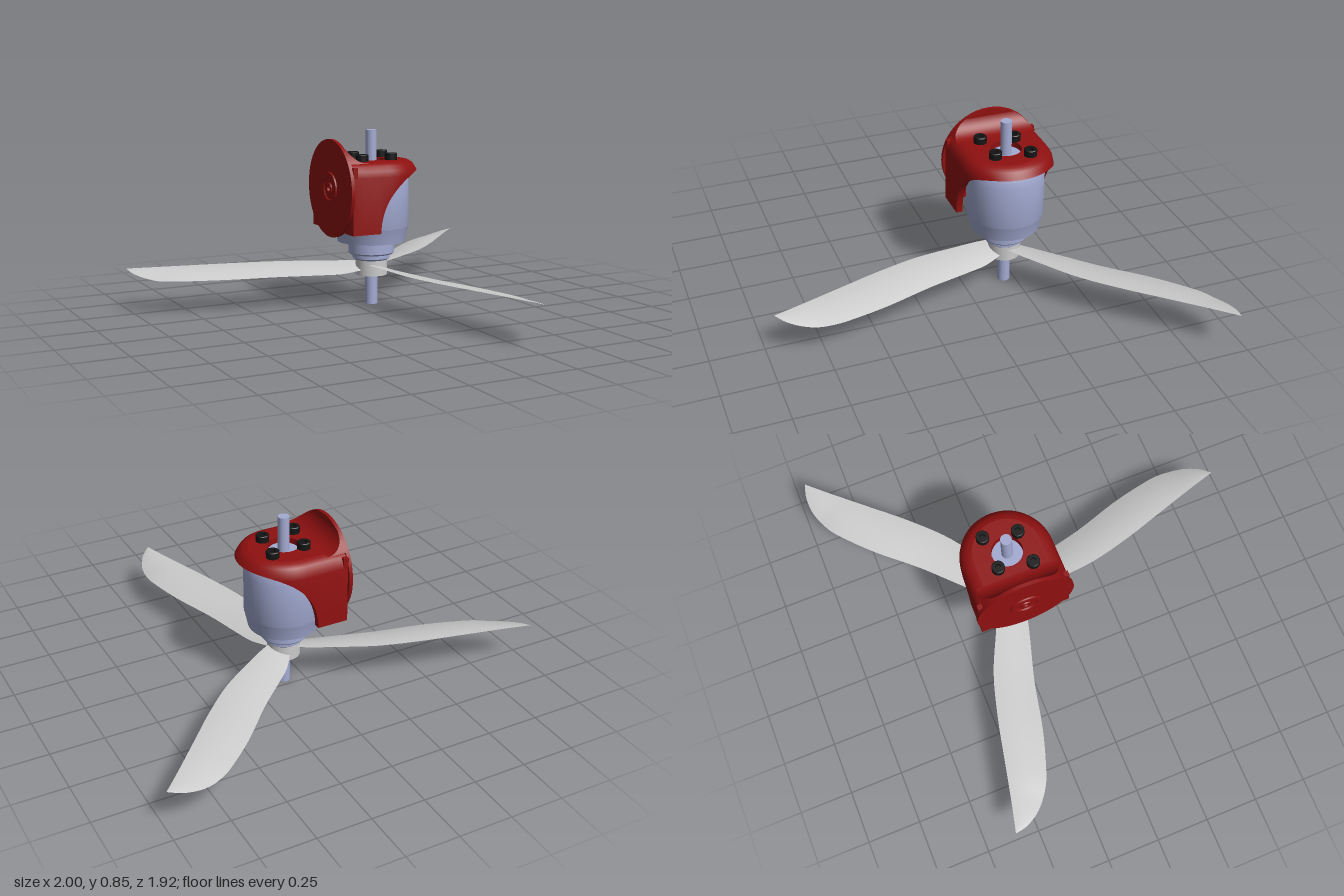
import * as THREE from 'three';
import { toCreasedNormals } from 'three/addons/utils/BufferGeometryUtils.js';

const AX = 0.095, AZ = -0.2; // motor axis
const mat = (color) => new THREE.MeshStandardMaterial({ color, side: THREE.DoubleSide });

function add(parent, name, geometry, material, x = 0, y = 0, z = 0) {
  const m = new THREE.Mesh(geometry, material);
  m.name = name;
  m.position.set(x, y, z);
  parent.add(m);
  return m;
}

// Skin a list of cross-sections (each an array of [x, y, z])
function loft(sections, closed, crease = 0.6) {
  const n = sections[0].length, idx = [];
  for (let i = 0; i < sections.length - 1; i++)
    for (let j = 0; j < (closed ? n : n - 1); j++) {
      const a = i * n + j, b = i * n + (j + 1) % n;
      idx.push(a, b, a + n, b, b + n, a + n);
    }
  const g = new THREE.BufferGeometry();
  g.setAttribute('position', new THREE.Float32BufferAttribute(sections.flat(2), 3));
  g.setIndex(idx);
  return toCreasedNormals(g, crease);
}

function lathe(points, segments = 40) {
  const g = new THREE.LatheGeometry(points.map(([r, y]) => new THREE.Vector2(r, y)), segments);
  return toCreasedNormals(g, 0.5);
}

// Swept blade running along +z: stations of [z, straight edge x, bulged edge x]
function bladeGeometry() {
  const st = [[0.04, -0.045, 0.06], [0.13, -0.045, 0.1], [0.235, -0.037, 0.128], [0.43, -0.018, 0.176],
    [0.65, 0.037, 0.246], [0.81, 0.088, 0.283], [0.91, 0.12, 0.297], [1.03, 0.158, 0.281],
    [1.11, 0.182, 0.24], [1.152, 0.194, 0.197]];
  const left = new THREE.CatmullRomCurve3(st.map(([z, l]) => new THREE.Vector3(l, 0, z)));
  const right = new THREE.CatmullRomCurve3(st.map(([z, , r]) => new THREE.Vector3(r, 0, z)));
  const sections = [], N = 36, C = 8;
  for (let i = 0; i <= N; i++) {
    const a = left.getPoint(i / N), b = right.getPoint(i / N);
    const chord = b.x - a.x;
    const drop = 0.042 * Math.min(1, chord / 0.15);
    const high = 0.202 - 0.004 * (i / N);
    const section = [];
    for (let k = 0; k < 2 * C; k++) {
      const upper = k <= C;
      const s = upper ? k / C : 2 - k / C;
      const bulge = 4 * s * (1 - s) * chord * (upper ? 0.05 : 0.005);
      section.push([a.x + chord * s, high - drop * s + bulge, a.z + (b.z - a.z) * s]);
    }
    sections.push(section);
  }
  return loft(sections, true, 0.8);
}

// Shell around the motor: a D-shaped outline with an arched lower edge
const R = 0.217, BACK = -0.11;
const archY = (x) => {
  const s = Math.min(1, Math.max(0, (0.312 - x) / 0.277));
  return 0.375 + 0.283 * Math.sqrt(1 - s * s);
};
function shellGeometry() {
  const half = [[BACK, 0], [-0.04, 0]]; // [x on the straight side, angle round the nose]
  for (let i = 0; i <= 10; i++) half.push([0.035 + 0.06 * (i / 10) ** 2, 0]);
  for (let i = 1; i <= 16; i++) half.push([AX, i / 16 * Math.PI / 2]);
  const full = [...half.map((h) => [...h, 1]), ...half.slice(0, -1).reverse().map((h) => [...h, -1])];
  const profile = [[0.06, 0.655], [0.03, 0.655], [0.03, 0], [0, 0], [0, 0.64], [0.006, 0.667],
    [0.02, 0.689], [0.04, 0.701], [0.06, 0.705]]; // [inset, height]
  return loft(full.map(([x, a, side]) => {
    const cut = archY(x + R * Math.sin(a));
    return profile.map(([d, y]) =>
      [x + (R - d) * Math.sin(a), Math.max(y, cut), AZ + side * (R - d) * Math.cos(a)]);
  }), false, 0.7);
}

// Flat top of the shell with an opening round the shaft
function topPlateGeometry() {
  const r = R - 0.06, s = new THREE.Shape();
  s.moveTo(BACK - AX, -r);
  s.lineTo(0, -r);
  s.absarc(0, 0, r, -Math.PI / 2, Math.PI / 2, false);
  s.lineTo(BACK - AX, r);
  s.closePath();
  const hole = new THREE.Path();
  hole.absarc(0, 0, 0.072, 0, Math.PI * 2, true);
  s.holes.push(hole);
  const g = new THREE.ExtrudeGeometry(s, { depth: 0.05, bevelEnabled: false, curveSegments: 24 });
  return g.rotateX(-Math.PI / 2);
}

// Concave web blending the shell top into the round mounting plate
function webGeometry() {
  const sections = [];
  for (let i = 0; i <= 12; i++) {
    const t = i / 12 * Math.PI / 2;
    const x = -0.02 - 0.092 * Math.cos(t), y = 0.797 - 0.092 * Math.sin(t);
    const w = Math.sqrt(0.233 ** 2 - (y - 0.575) ** 2);
    sections.push([[-0.115, y, AZ - w], [x, y, AZ - w], [x, y, AZ + w], [-0.115, y, AZ + w]]);
  }
  return loft(sections, true);
}

export function createModel() {
  const root = new THREE.Group();
  root.name = 'propellerMotor';
  const red = mat(0x8f1010), blue = mat(0xa3abd2), grey = mat(0xcccccc), black = mat(0x151515);

  // Motor
  const motor = new THREE.Group();
  motor.name = 'motor';
  motor.position.set(AX, 0, AZ);
  root.add(motor);
  add(motor, 'motorBody', lathe([[0, 0.31], [0.163, 0.31], [0.178, 0.38], [0.18, 0.385], [0.18, 0.59],
    [0.176, 0.62], [0.168, 0.645], [0.158, 0.66], [0.068, 0.66], [0.068, 0.68], [0, 0.68]]), blue);
  add(motor, 'collar', lathe([[0, 0.22], [0.08, 0.22], [0.09, 0.228], [0.09, 0.248], [0.104, 0.248],
    [0.11, 0.255], [0.11, 0.31], [0, 0.31]]), blue);
  add(motor, 'upperShaft', new THREE.CylinderGeometry(0.026, 0.026, 0.2, 24), blue, 0, 0.745, 0);
  add(motor, 'lowerShaft', new THREE.CylinderGeometry(0.03, 0.03, 0.24, 24), blue, 0, 0.12, 0);

  // Propeller
  const propeller = new THREE.Group();
  propeller.name = 'propeller';
  propeller.position.set(AX, 0, AZ);
  root.add(propeller);
  add(propeller, 'hub', new THREE.CylinderGeometry(0.076, 0.076, 0.075, 32), grey, 0, 0.1825, 0);
  const blade = bladeGeometry();
  for (let i = 0; i < 3; i++) {
    add(propeller, 'blade', blade, grey).rotation.y = i * Math.PI * 2 / 3;
  }

  // Mount
  const mount = new THREE.Group();
  mount.name = 'mount';
  root.add(mount);
  add(mount, 'shell', shellGeometry(), red);
  add(mount, 'topPlate', topPlateGeometry(), red, AX, 0.655, AZ);
  add(mount, 'backWall', new THREE.BoxGeometry(0.025, 0.315, 0.434), red, -0.0985, 0.5325, AZ);
  add(mount, 'web', webGeometry(), red);
  const plate = lathe([[0, 0], [0.233, 0], [0.233, 0.017], [0.078, 0.017], [0.076, 0.024],
    [0.055, 0.024], [0.05, 0.018], [0.028, 0.018], [0.026, 0.024], [0.014, 0.024], [0.012, 0.012], [0, 0.012]], 48);
  add(mount, 'mountingPlate', plate, red, -0.109, 0.575, AZ).rotation.z = Math.PI / 2;

  // Bolts with hollow heads
  const bolt = lathe([[0, 0], [0.03, 0], [0.03, 0.032], [0.027, 0.035], [0.014, 0.035], [0.014, 0.015], [0, 0.015]], 24);
  for (const [x, z] of [[0.03, -0.267], [0.19, -0.28], [0, -0.112], [0.16, -0.123]])
    add(mount, 'bolt', bolt, black, x, 0.702, z);

  return root;
}
